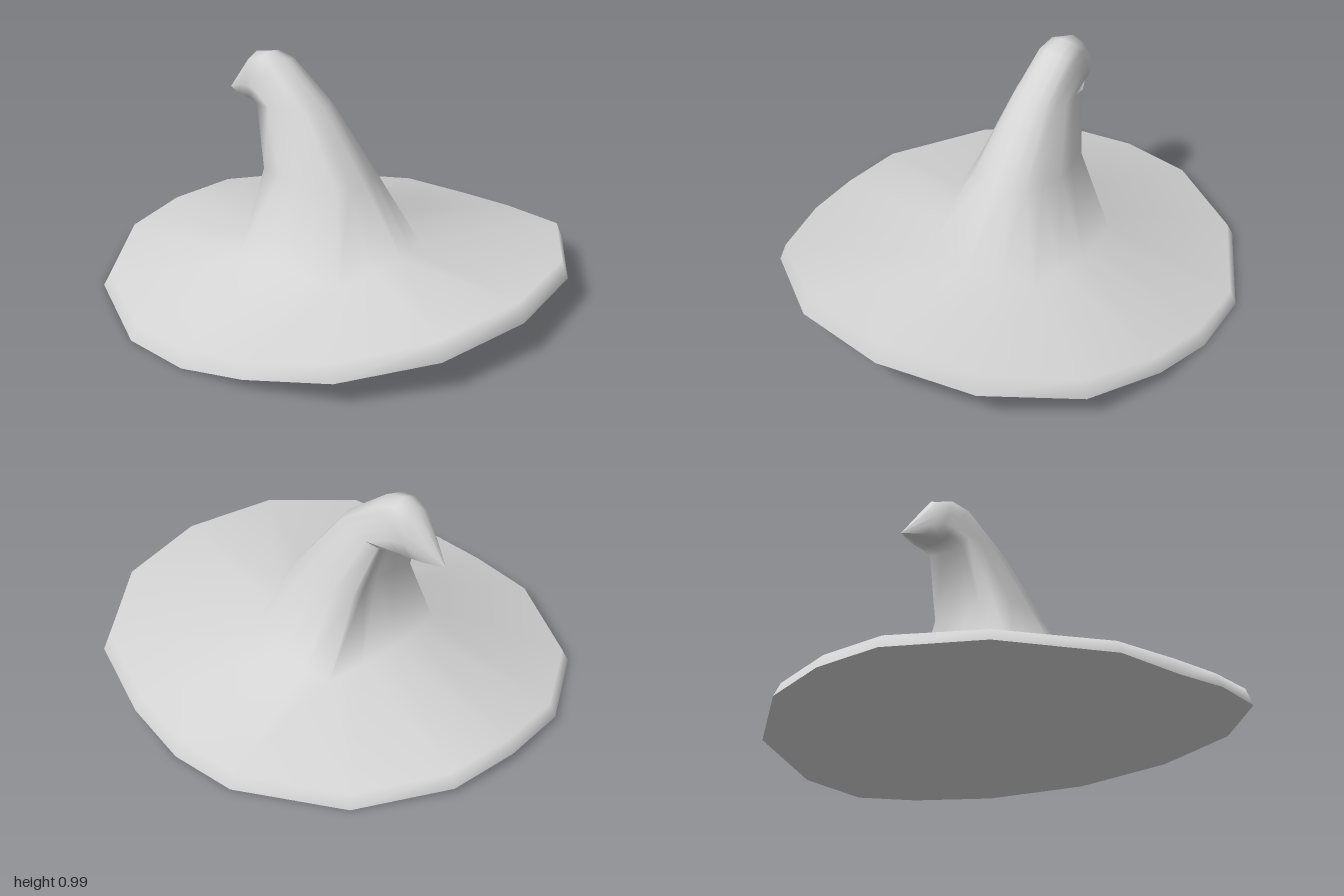
import * as THREE from 'three';

const SIDES = 16;

// Right half of the brim edge, front to back: x, z, height of lower edge, height of upper edge
const EDGE = [
  [0, 1, 0.16, 0.245], [0.44, 0.92, 0.15, 0.232], [0.79, 0.66, 0.115, 0.19],
  [0.92, 0.3, 0.05, 0.115], [0.96, 0, 0, 0.075], [0.94, -0.31, 0, 0.06],
  [0.69, -0.74, 0, 0.055], [0.32, -0.965, 0.02, 0.08], [0, -1, 0.03, 0.09],
];

// Right half of each octagonal loop: front, front corner, side, back corner, back (x, y, z)
const SOLE = [[0, 0.1, 0.26], [0.18, 0.085, 0.24], [0.29, 0.065, 0], [0.19, 0.07, -0.3], [0, 0.078, -0.31]];
const CROWN = [
  [[0, 0.225, 0.375], [0.275, 0.165, 0.255], [0.35, 0.2, 0], [0.32, 0.18, -0.26], [0, 0.225, -0.33]],
  [[0, 0.52, 0.16], [0.13, 0.52, 0.12], [0.2, 0.525, -0.05], [0.175, 0.53, -0.25], [0, 0.53, -0.22]],
  [[0, 0.8, -0.06], [0.085, 0.8, -0.09], [0.125, 0.795, -0.2], [0.12, 0.79, -0.335], [0, 0.79, -0.3]],
  [[0, 0.965, -0.27], [0.072, 0.953, -0.29], [0.095, 0.88, -0.35], [0.085, 0.785, -0.41], [0, 0.785, -0.4]],
  [[0, 0.99, -0.36], [0.06, 0.973, -0.37], [0.088, 0.89, -0.41], [0.07, 0.777, -0.46], [0, 0.775, -0.46]],
  [[0, 0.97, -0.44], [0.05, 0.945, -0.445], [0.07, 0.87, -0.46], [0.05, 0.77, -0.51], [0, 0.77, -0.53]],
];

// Completes a nine-point half loop by mirroring it across x
function mirrorRing(half) {
  const other = half.slice(1, -1).reverse().map(([x, y, z]) => [-x, y, z]);
  return [...half, ...other];
}

const edgeRing = (scale, column) =>
  mirrorRing(EDGE.map((p) => [p[0] * scale, p[column], p[1] * scale]));

// Adds a midpoint to every octagon side so the loop matches the brim edge
function octagonRing(half) {
  return mirrorRing(half.flatMap((p, i) =>
    i === 0 ? [p] : [p.map((v, k) => (v + half[i - 1][k]) / 2), p]));
}

const pointRing = (y, z) => Array.from({ length: SIDES }, () => [0, y, z]);

// Triangles joining ring number `from` up to ring number `to`
function bridge(from, to) {
  const index = [];
  for (let r = from; r < to; r++) {
    for (let i = 0; i < SIDES; i++) {
      const j = (i + 1) % SIDES;
      const a = r * SIDES + i, b = r * SIDES + j;
      index.push(a, b, b + SIDES, a, b + SIDES, a + SIDES);
    }
  }
  return index;
}

// Smooth skin over a stack of rings
function loft(rings) {
  const skin = new THREE.BufferGeometry();
  skin.setAttribute('position', new THREE.Float32BufferAttribute(rings.flat(2), 3));
  skin.setIndex(bridge(0, rings.length - 1));
  skin.computeVertexNormals();
  return skin;
}

export function createModel() {
  const group = new THREE.Group();
  group.name = 'pointedHat';
  const felt = new THREE.MeshStandardMaterial({ color: 0xd4d4d4 });
  felt.name = 'light grey felt';

  // Parts of one skin share normals so the surface stays smooth where they meet
  const addPart = (name, skin, from, to) => {
    const geometry = skin.clone();
    geometry.setIndex(bridge(from, to));
    const mesh = new THREE.Mesh(geometry, felt);
    mesh.name = name;
    group.add(mesh);
  };

  // Underside, from its centre out to the lower edge
  const lowerEdge = edgeRing(1, 2);
  const under = loft([pointRing(0.085, 0), octagonRing(SOLE), lowerEdge]);
  addPart('crownBase', under, 0, 1);
  addPart('brimUnderside', under, 1, 2);

  // Edge, brim, then the crown up to its bent tip
  const upper = loft([lowerEdge, edgeRing(0.972, 3), ...CROWN.map(octagonRing), pointRing(0.76, -0.6)]);
  addPart('brimEdge', upper, 0, 1);
  addPart('brim', upper, 1, 2);
  addPart('crown', upper, 2, 4);
  addPart('bentTip', upper, 4, 8);
  return group;
}
